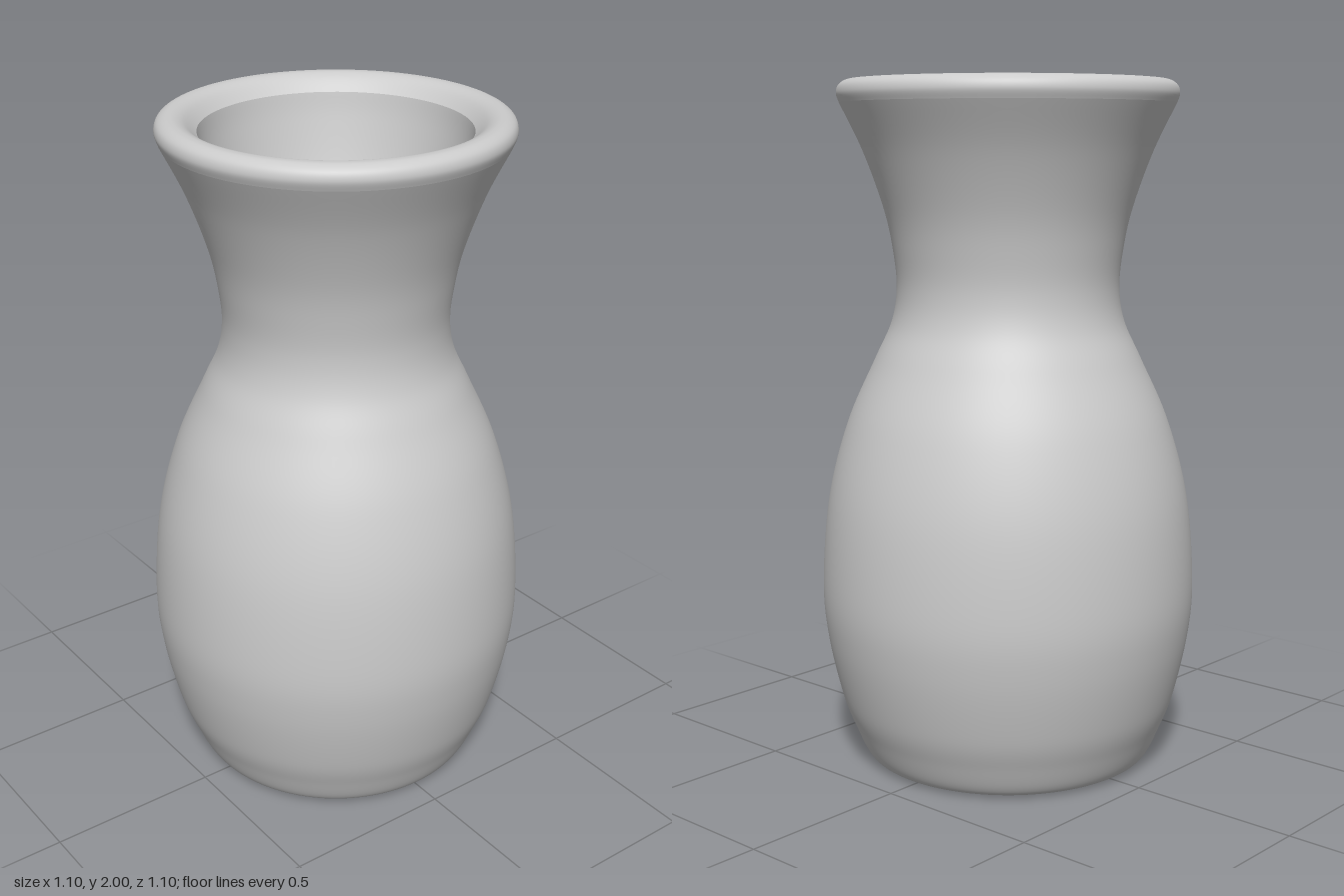
import * as THREE from 'three';

const material = new THREE.MeshStandardMaterial({ color: 0xcccccc });

// Smooth surface of revolution through a few [radius, height] points
function turned(name, points, samples) {
  const curve = new THREE.SplineCurve(points.map(([r, y]) => new THREE.Vector2(r, y)));
  const profile = curve.getPoints(samples);
  profile.forEach((p) => { p.x = Math.max(p.x, 0); p.y = Math.min(Math.max(p.y, 0), 2); });
  const mesh = new THREE.Mesh(new THREE.LatheGeometry(profile, 96), material);
  mesh.name = name;
  return mesh;
}

export function createModel() {
  const vase = new THREE.Group();
  vase.name = 'vase';

  // Flat foot with a softly rounded edge, belly, narrow neck and flared mouth
  vase.add(turned('body', [
    [0, 0.005], [0.2, 0.005], [0.36, 0.005], [0.405, 0.012], [0.43, 0.035], [0.46, 0.1],
    [0.498, 0.2], [0.538, 0.38], [0.55, 0.55], [0.528, 0.8], [0.47, 1.02],
    [0.39, 1.2], [0.34, 1.31], [0.324, 1.41], [0.334, 1.52], [0.36, 1.64],
    [0.417, 1.8], [0.482, 1.935],
  ], 120));

  // Rounded lip rolling over into the opening
  vase.add(turned('lip', [
    [0.482, 1.935], [0.49, 1.96], [0.484, 1.983], [0.465, 1.997], [0.44, 2],
    [0.41, 1.988], [0.375, 1.955],
  ], 32));

  // Inner funnel ending in a rounded bowl in the neck
  vase.add(turned('innerBowl', [
    [0.375, 1.955], [0.362, 1.88], [0.328, 1.74], [0.28, 1.59], [0.215, 1.49],
    [0.11, 1.45], [0, 1.44],
  ], 40));

  return vase;
}
